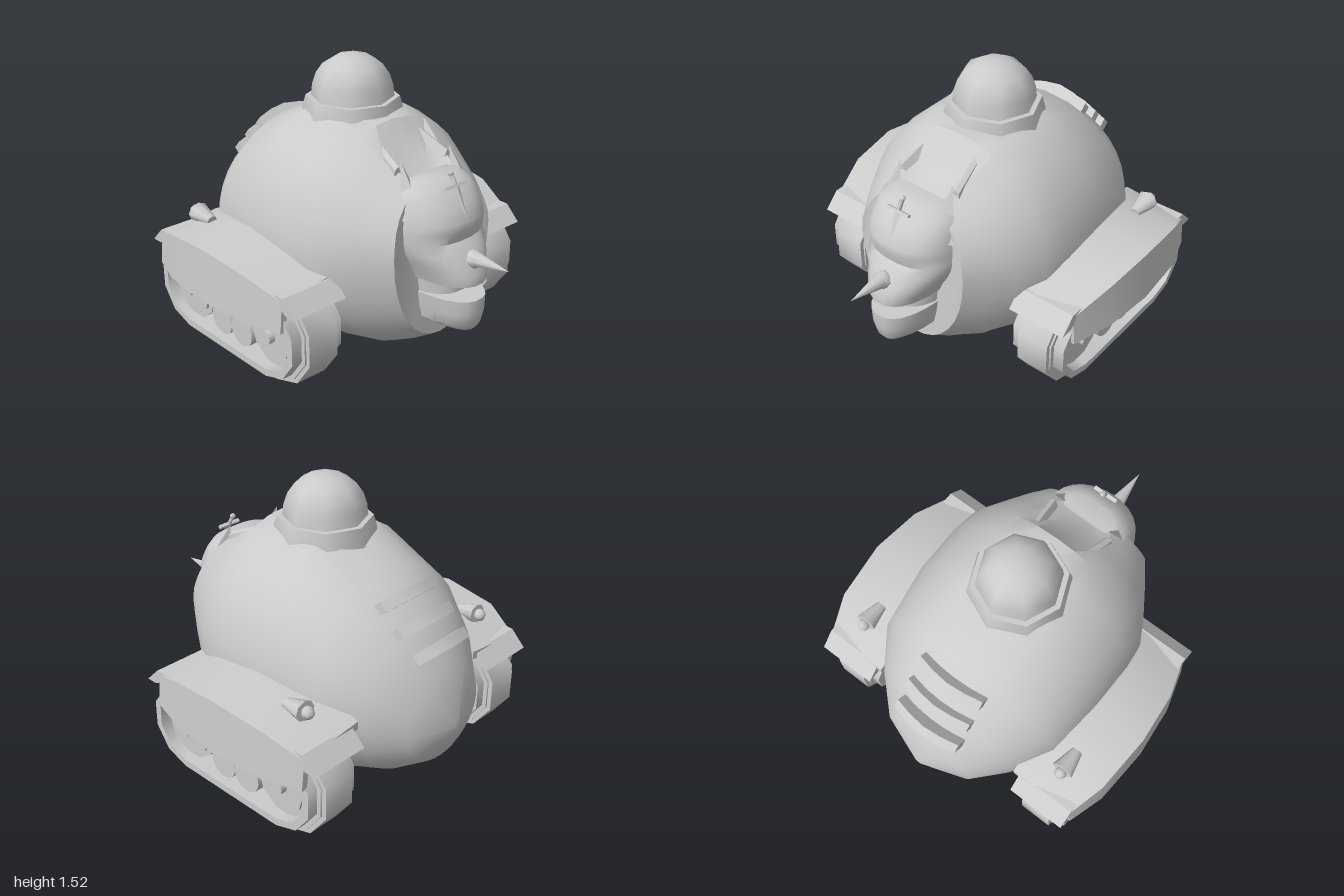
import * as THREE from 'three';
import { toCreasedNormals } from 'three/addons/utils/BufferGeometryUtils.js';

const material = new THREE.MeshStandardMaterial({ color: 0xcccccc, side: THREE.DoubleSide });
const V = (x, y, z) => new THREE.Vector3(x, y, z);

function add(parent, name, geometry, x = 0, y = 0, z = 0, crease = 0.5) {
  const mesh = new THREE.Mesh(toCreasedNormals(geometry, crease), material);
  mesh.name = name;
  mesh.position.set(x, y, z);
  parent.add(mesh);
  return mesh;
}

// Skin a row of closed rings (even point count) and cap both ends with strips
function loft(rings) {
  const n = rings[0].length, index = [];
  for (let i = 0; i < rings.length - 1; i++) for (let j = 0; j < n; j++) {
    const a = i * n + j, b = i * n + (j + 1) % n;
    index.push(a, b, b + n, a, b + n, a + n);
  }
  const end = (rings.length - 1) * n;
  for (let k = 0; k < n / 2 - 1; k++) {
    const q = [k, k + 1, n - 2 - k, n - 1 - k], e = q.map((v) => v + end);
    index.push(q[0], q[2], q[1], q[0], q[3], q[2]);
    index.push(e[0], e[1], e[2], e[0], e[2], e[3]);
  }
  const g = new THREE.BufferGeometry().setFromPoints(rings.flat());
  g.setIndex(index);
  return g;
}

// Egg-shaped hull: z, half width, bottom, top, height of widest point
function makeBody(root) {
  const stations = [
    [-1, 0.02, 0.43, 0.48, 0.455], [-0.91, 0.27, 0.23, 0.74, 0.47], [-0.75, 0.43, 0.12, 0.97, 0.53],
    [-0.55, 0.565, 0.06, 1.13, 0.58], [-0.23, 0.605, 0.03, 1.29, 0.6], [0.05, 0.605, 0.03, 1.29, 0.6],
    [0.2, 0.58, 0.035, 1.25, 0.62], [0.34, 0.5, 0.05, 1.15, 0.65], [0.46, 0.42, 0.11, 1.08, 0.68],
    [0.57, 0.34, 0.18, 1.05, 0.7],
  ];
  const rings = stations.map(([z, w, bottom, top, mid]) => Array.from({ length: 32 }, (_, i) => {
    const t = (i / 32) * Math.PI * 2, s = Math.sin(t), x = w * Math.cos(t);
    // flat crown under the collar and flat belly
    let y = THREE.MathUtils.clamp(mid + s * (s > 0 ? top - mid : mid - bottom), 0.055, 1.25);
    // groove running from the collar to the forehead
    if (z > 0.25 && s > 0 && Math.abs(x) < 0.13) y -= 0.06;
    return V(x, y, z > 0.5 ? z - Math.max(0, y - 0.75) * 0.18 : z);
  }));
  add(root, 'body', loft(rings), 0, 0, 0, 0.6);
}

// Turret: faceted collar and dome
function makeTurret(root) {
  const lathe = (pts, n) => new THREE.LatheGeometry(pts.map((p) => new THREE.Vector2(...p)), n);
  add(root, 'collar', lathe([[0.265, 1.2], [0.262, 1.24], [0.245, 1.3], [0.2, 1.3]], 8), 0, 0, -0.1, 0.85);
  add(root, 'dome', lathe([[0.217, 1.3], [0.21, 1.36], [0.19, 1.42], [0.155, 1.47], [0.09, 1.51], [0, 1.525]], 8),
    0, 0, -0.1, 0.9);
}

// Rear vents: three bent louvres following the slope of the hull
function makeVents(root) {
  const outline = [[-0.195, -0.09], [0, -0.05], [0.195, -0.09], [0.195, -0.01], [0.1, 0.02], [0, 0.035], [-0.1, 0.02], [-0.195, -0.01]];
  for (const [y, z] of [[1.05, -0.66], [0.95, -0.77], [0.845, -0.87]]) {
    const s = new THREE.Shape(outline.map((p) => new THREE.Vector2(...p)));
    const g = new THREE.ExtrudeGeometry(s, { depth: 0.055, bevelEnabled: false });
    g.translate(0, 0, -0.0275);
    add(root, 'vent', g, 0, y + 0.015, z - 0.015).rotation.x = -0.85;
  }
}

// Half-oval rings stacked in y: [y, half width, front z]
function muzzle(levels, back) {
  return loft(levels.map(([y, w, front]) => Array.from({ length: 14 }, (_, i) => {
    const t = (i / 13 - 0.5) * Math.PI, c = Math.cos(t);
    return V(w * Math.sign(t) * Math.abs(Math.sin(t)) ** 0.85, y, back + (front - back) * c ** 0.85);
  })));
}

function makeHead(root) {
  const head = new THREE.Group();
  head.name = 'head';
  root.add(head);
  add(head, 'face', muzzle([
    [0.55, 0.175, 0.82], [0.6, 0.195, 0.82], [0.65, 0.225, 0.79], [0.71, 0.255, 0.76], [0.76, 0.268, 0.715],
    [0.82, 0.265, 0.73], [0.86, 0.262, 0.73], [0.93, 0.25, 0.69], [1.0, 0.225, 0.635], [1.04, 0.16, 0.57],
  ], 0.45), 0, 0, 0, 0.8);
  add(head, 'jaw', muzzle([
    [0.29, 0.1, 0.79], [0.32, 0.14, 0.81], [0.39, 0.155, 0.825], [0.47, 0.165, 0.825],
  ], 0.45), 0, 0, 0, 0.7);
  add(head, 'mouth', muzzle([[0.45, 0.16, 0.7], [0.57, 0.172, 0.69]], 0.45));
  for (const x of [-1, 1]) {
    // pointed ears leaning back
    const ear = new THREE.ConeGeometry(1, 1, 4);
    const p = ear.attributes.position;
    for (let i = 0; i < p.count; i++) {
      const up = p.getY(i) + 0.5;
      p.setXYZ(i, x * (0.18 - 0.01 * up) + p.getX(i) * 0.085, 0.88 + 0.255 * up, 0.54 - 0.11 * up + p.getZ(i) * 0.08);
    }
    add(head, 'ear', ear);
    // raised shoulders flanking the groove, from the ears back to the collar
    const ridge = [[0.13, 1.215, 0.12], [0.175, 1.08, 0.42]].map(([cx, y, z]) =>
      [[0.025, -0.06], [0.02, 0.005], [-0.005, 0.02], [-0.045, -0.06]].map(([dx, dy]) => V(cx + dx, y + dy, z)));
    add(head, 'browRidge', loft(ridge)).scale.x = x;
  }
  // nose horn with a rounded root
  const horn = new THREE.ConeGeometry(0.045, 0.23, 8);
  horn.rotateX(Math.PI / 2);
  add(head, 'noseHorn', horn, 0, 0.685, 0.885, 0.9).rotation.x = -0.05;
  add(head, 'hornRoot', new THREE.SphereGeometry(0.048, 8, 6), 0, 0.675, 0.775, 0.9);

  // small dagger in front of the forehead
  const dagger = new THREE.Group();
  dagger.name = 'dagger';
  dagger.position.set(0, 1.02, 0.64);
  dagger.rotation.x = -0.53;
  head.add(dagger);
  const blade = new THREE.ConeGeometry(0.025, 0.18, 4);
  blade.rotateX(Math.PI);
  blade.scale(1, 1, 0.4);
  add(dagger, 'blade', blade, 0, -0.09, 0);
  add(dagger, 'guard', new THREE.BoxGeometry(0.14, 0.015, 0.02), 0, 0, 0);
  add(dagger, 'grip', new THREE.CylinderGeometry(0.012, 0.012, 0.06, 6), 0, 0.035, 0, 1.2);
  add(dagger, 'pommel', new THREE.SphereGeometry(0.017, 6, 4), 0, 0.065, 0, 1.2);
}

// Track outline in the z-y plane
function stadium(r, Type) {
  const pts = [];
  for (const [z, start] of [[0.13, -0.5], [-0.55, 0.5]]) for (let i = 0; i <= 5; i++) {
    const a = (start + i / 5) * Math.PI;
    pts.push(new THREE.Vector2(z + r * Math.cos(a), 0.28 + r * Math.sin(a)));
  }
  return new Type(pts);
}

function makeTrackUnit(name) {
  const unit = new THREE.Group();
  unit.name = name;
  // wide belt with a raised tread in the middle
  for (const [part, r, x0, x1] of [['trackBelt', 0.23, 0.49, 0.805], ['trackTread', 0.28, 0.555, 0.735], ['trackTreadEdge', 0.255, 0.545, 0.745]]) {
    const shape = stadium(r, THREE.Shape);
    shape.holes.push(stadium(0.19, THREE.Path));
    const g = new THREE.ExtrudeGeometry(shape, { depth: x1 - x0, bevelEnabled: false });
    g.rotateY(-Math.PI / 2);
    add(unit, part, g, x1, 0, 0, 0.75);
  }
  // drive wheels, hubs and road wheels
  const wheel = (part, r, x0, x1, y, z, n) => {
    const g = new THREE.CylinderGeometry(r, r, x1 - x0, n);
    g.rotateZ(Math.PI / 2);
    add(unit, part, g, (x0 + x1) / 2, y, z, 0.7);
  };
  for (const z of [0.13, -0.55]) {
    wheel('driveWheel', 0.178, 0.51, 0.75, 0.27, z, 10);
    wheel('driveWheelFace', 0.145, 0.5, 0.765, 0.27, z, 10);
    wheel('hub', 0.038, 0.49, 0.8, 0.27, z, 12);
  }
  for (const z of [-0.125, -0.295]) for (const y of [0.18, 0.355])
    wheel('roadWheel', 0.087, 0.52, 0.76, y, z, 16);

  // arched fender shell: z, outer x, top y
  const fender = [[-0.75, 0.825, 0.57], [-0.55, 0.89, 0.66], [-0.23, 0.915, 0.695], [0.06, 0.89, 0.66], [0.29, 0.825, 0.575]]
    .map(([z, x, y]) => [V(x, 0.37, z), V(x - 0.015, y - 0.035, z), V(0.45, y + 0.005, z),
      V(0.45, y - 0.04, z), V(x - 0.05, y - 0.075, z), V(x - 0.03, 0.37, z)]);
  add(unit, 'fender', loft(fender), 0, 0, 0, 0.5);

  // sloping mud flaps at both ends
  for (const [z0, d] of [[0.29, 1], [-0.73, -1]]) {
    const s = new THREE.Shape([[-0.06, 0.565], [0.01, 0.565], [0.095, 0.48], [0.03, 0.48], [-0.06, 0.53]]
      .map(([u, v]) => new THREE.Vector2(z0 + d * u, v)));
    const g = new THREE.ExtrudeGeometry(s, { depth: 0.33, bevelEnabled: false });
    g.rotateY(-Math.PI / 2);
    add(unit, 'mudFlap', g, 0.815, 0, 0);
  }

  // rear lamp on the fender
  const housing = new THREE.CylinderGeometry(0.03, 0.06, 0.13, 8);
  housing.rotateX(Math.PI / 2);
  housing.scale(1, 0.85, 1);
  add(unit, 'lampHousing', housing, 0.66, 0.663, -0.545, 0.9).rotation.x = 0.1;
  add(unit, 'lamp', new THREE.SphereGeometry(0.034, 8, 6), 0.66, 0.667, -0.625, 0.9);
  return unit;
}

export function createModel() {
  const root = new THREE.Group();
  root.name = 'trackedVehicle';
  makeBody(root);
  makeTurret(root);
  makeVents(root);
  makeHead(root);
  const right = makeTrackUnit('rightTrack');
  right.scale.x = -1;
  root.add(makeTrackUnit('leftTrack'), right);
  return root;
}
